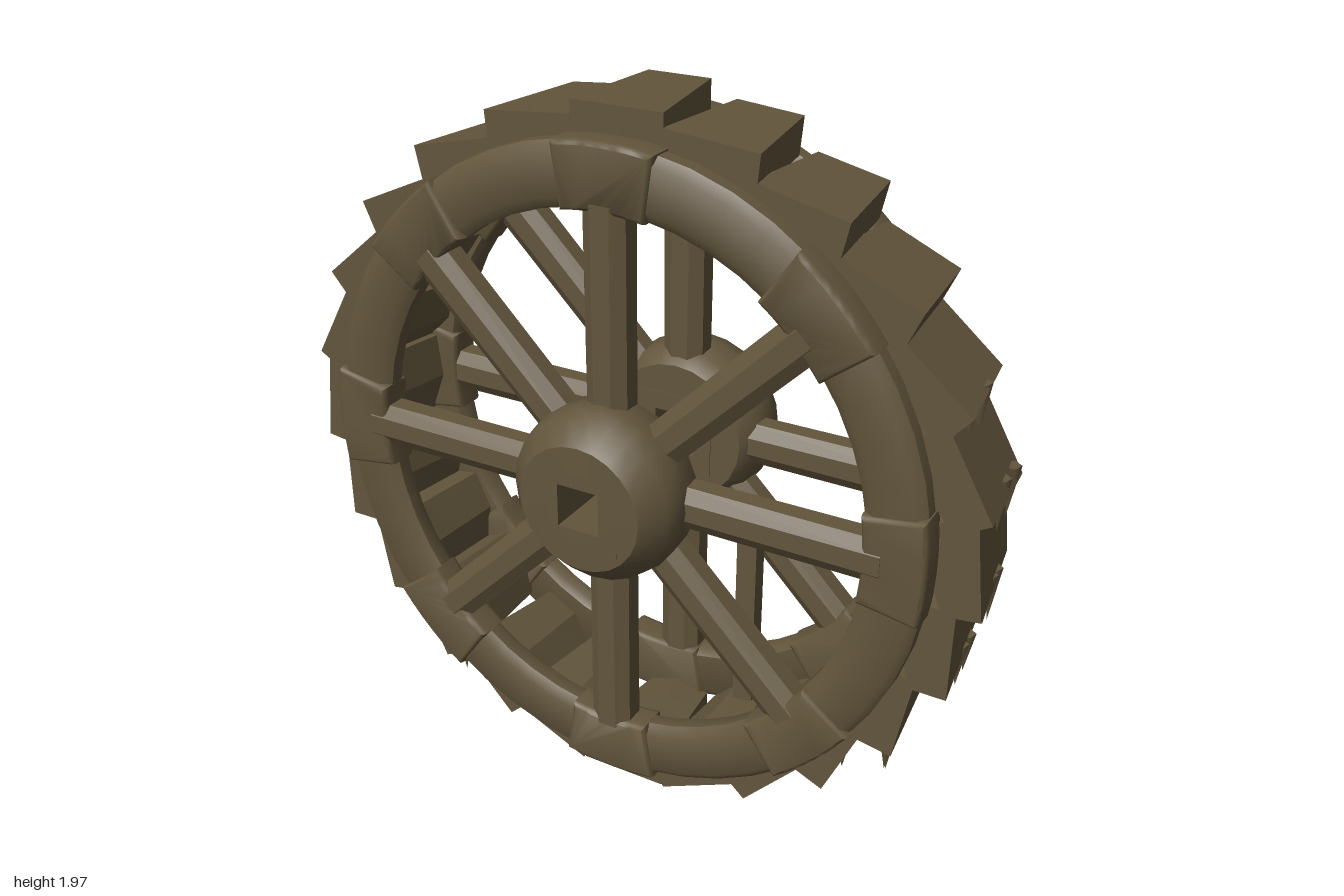
import * as THREE from 'three';
import { toCreasedNormals } from 'three/addons/utils/BufferGeometryUtils.js';

const CENTRE_Y = 0.98;
const SPOKES = 8;
const PADDLES = 24;

// small seeded generator for worn-wood irregularity
function seeded(seed) {
  return () => {
    seed = (seed * 16807) % 2147483647;
    return seed / 2147483647;
  };
}

function part(name, geometry, material, parent) {
  const mesh = new THREE.Mesh(geometry, material);
  mesh.name = name;
  parent.add(mesh);
  return mesh;
}

// surface of revolution around z, from [radius, z] pairs
function turned(profile, segments) {
  const g = new THREE.LatheGeometry(profile.map(([r, z]) => new THREE.Vector2(r, z)), segments);
  g.rotateX(Math.PI / 2);
  return toCreasedNormals(g, 0.8);
}

// the rim is slightly taller than wide
const oval = (geometry) => geometry.scale(1, 1.04, 1);

// low swelling of the rim at the end of a spoke
function collarGeometry(angle) {
  const half = 0.15;
  const shape = new THREE.Shape();
  shape.absarc(0, 0, 0.865, angle - half, angle + half, false);
  shape.absarc(0, 0, 0.72, angle + half, angle - half, true);
  const g = new THREE.ExtrudeGeometry(shape, {
    depth: 0.065, curveSegments: 6, bevelEnabled: true,
    bevelThickness: 0.018, bevelSize: 0.01, bevelSegments: 2,
  });
  return oval(toCreasedNormals(g.translate(0, 0, 0.165), 0.8));
}

// square timber with chamfered edges, flaring a little at the rim
function spokeGeometry() {
  const g = new THREE.CylinderGeometry(0.07, 0.064, 0.58, 8, 1);
  g.rotateY(Math.PI / 8);
  const p = g.attributes.position;
  for (let i = 0; i < p.count; i++) {
    p.setX(i, THREE.MathUtils.clamp(p.getX(i), -0.06, 0.06));
    p.setZ(i, THREE.MathUtils.clamp(p.getZ(i), -0.05, 0.05));
  }
  g.translate(0, 0.47, 0.2);
  return toCreasedNormals(g, 0.4);
}

// plank at angle a: tapers to the back at top and bottom, dips to the back at the sides
function paddleGeometry(a, rand) {
  const g = new THREE.BoxGeometry(0.255, 0.13, 0.335, 2, 1, 2);
  const p = g.attributes.position;
  const skew = (rand() - 0.5) * 0.03;
  const taper = 0.04 + 0.26 * Math.cos(a) ** 2;
  const dip = 0.045 * Math.sin(a) ** 2;
  for (let i = 0; i < p.count; i++) {
    const back = 0.5 - p.getZ(i) / 0.335;
    const outerEdge = Math.abs(p.getX(i)) > 0.1;
    const lift = p.getY(i) < 0 && outerEdge ? 0.03 : 0;
    p.setX(i, p.getX(i) * (1 - taper * back) + skew * back);
    p.setY(i, p.getY(i) + lift - dip * back);
  }
  g.translate(0, -0.065, 0);
  return toCreasedNormals(g, 0.3);
}

// one side of the wheel: rim, collars, spokes and hub
function buildSide(name, material, rimShift) {
  const side = new THREE.Group();
  side.name = name;

  const rimAssembly = new THREE.Group();
  rimAssembly.name = 'rimAssembly';
  rimAssembly.position.x = rimShift;
  side.add(rimAssembly);
  part('rim', oval(turned([
    [0.73, 0.155], [0.85, 0.155], [0.872, 0.175], [0.872, 0.215], [0.85, 0.236],
    [0.74, 0.236], [0.712, 0.215], [0.712, 0.175], [0.73, 0.155],
  ], 48)), material, rimAssembly);

  const spoke = spokeGeometry();
  for (let i = 0; i < SPOKES; i++) {
    const a = (i / SPOKES) * Math.PI * 2;
    part('rimCollar', collarGeometry(a), material, rimAssembly);
    part('spoke', spoke, material, side).rotation.z = a;
  }

  part('hub', turned([
    [0.1, 0.13], [0.2, 0.13], [0.235, 0.17], [0.242, 0.26],
    [0.228, 0.315], [0.175, 0.373], [0.1, 0.375],
  ], 24), material, side);

  // square axle socket inside the hub
  const frame = new THREE.Shape();
  const hole = new THREE.Path();
  const square = (path, h) => path.moveTo(-h, -h).lineTo(h, -h).lineTo(h, h).lineTo(-h, h).closePath();
  square(frame, 0.112);
  square(hole, 0.06);
  frame.holes.push(hole);
  const socket = new THREE.ExtrudeGeometry(frame, { depth: 0.247, bevelEnabled: false });
  part('axleSocket', socket.translate(0, 0, 0.127), material, side);
  return side;
}

export function createModel() {
  const wood = new THREE.MeshStandardMaterial({ color: 0x62553c });
  wood.name = 'weatheredWood';
  const rand = seeded(77);

  const model = new THREE.Group();
  model.name = 'waterWheel';
  const wheel = new THREE.Group();
  wheel.name = 'wheel';
  wheel.position.y = CENTRE_Y;
  model.add(wheel);

  // the back rim sits a little off centre
  wheel.add(buildSide('frontSide', wood, 0));
  const back = buildSide('backSide', wood, 0.05);
  back.rotation.y = Math.PI;
  wheel.add(back);

  // ring of paddles, lower edges flaring outward, with ragged hanging drips
  const paddles = new THREE.Group();
  paddles.name = 'paddles';
  wheel.add(paddles);
  for (let i = 0; i < PADDLES; i++) {
    const a = (i / PADDLES) * Math.PI * 2;
    const slant = Math.abs(Math.sin(2 * a));
    const sideSign = Math.sign(Math.round(Math.sin(a) * 10));
    const arm = new THREE.Group();
    arm.name = 'paddleArm';
    arm.rotation.z = -a;
    paddles.add(arm);
    const paddle = part('paddle', paddleGeometry(a, rand), wood, arm);
    paddle.position.y = 0.98 - 0.03 * slant;
    paddle.rotation.z = 0.12 * Math.sin(a) + 0.28 * slant * sideSign;

    if (Math.cos(a) > 0.6 || Math.cos(a) < -0.97) continue;
    const edge = a + sideSign * 0.11;
    const y = Math.cos(edge) * 0.96;
    for (let k = 0; k < 2; k++) {
      const length = Math.min(0.11 + rand() * 0.06, CENTRE_Y + y);
      const cone = new THREE.ConeGeometry(0.025, length, 5);
      cone.rotateX(Math.PI);
      const drip = part('drip', cone, wood, paddles);
      drip.position.set(Math.sin(edge) * 0.96, y - length * 0.4, 0.13 - rand() * 0.24);
    }
  }

  // loose upright strip between the two sides
  const strip = part('looseStrip', new THREE.BoxGeometry(0.06, 0.55, 0.05), wood, wheel);
  strip.position.set(0.25, -0.53, -0.12);
  return model;
}
